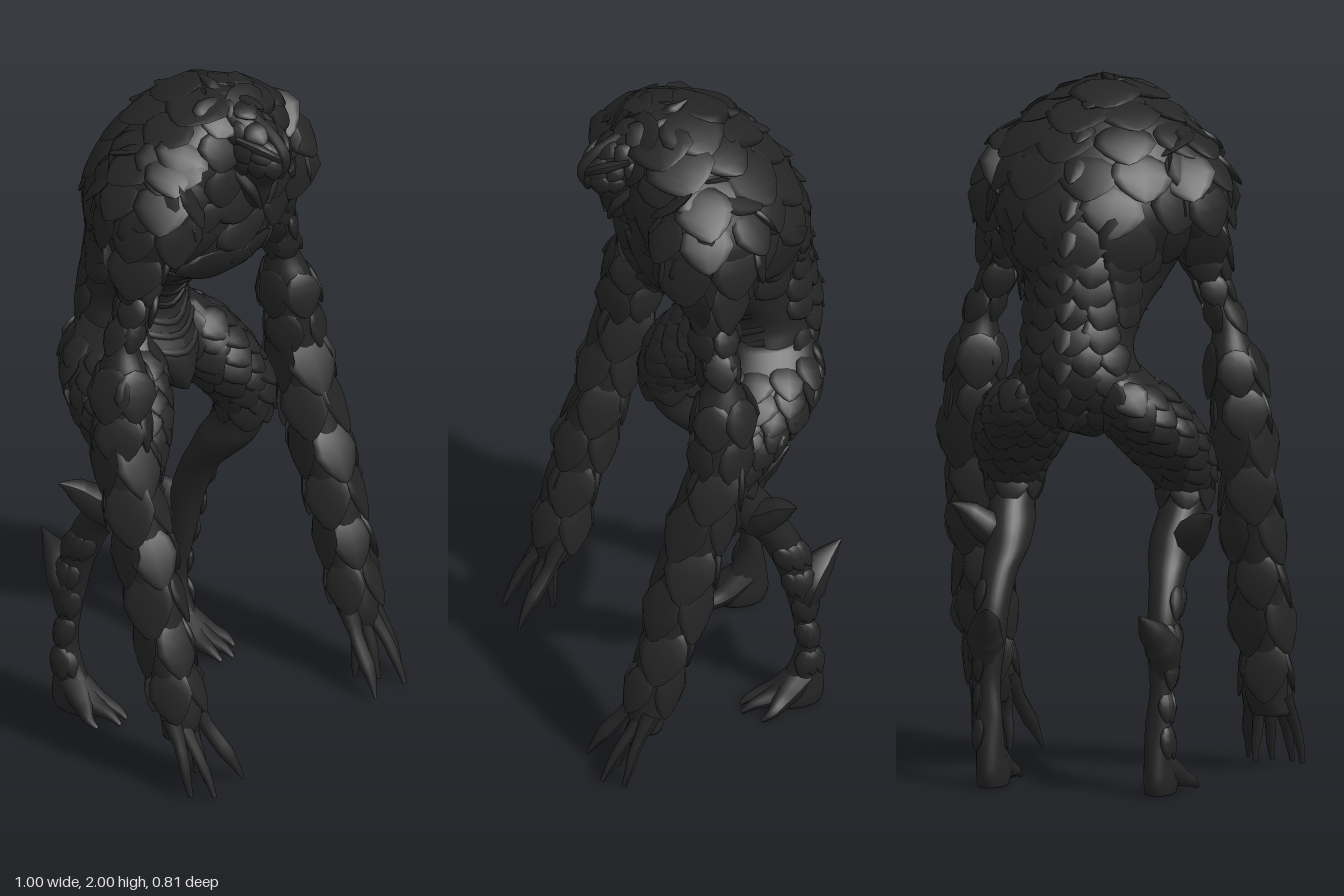
import * as THREE from 'three';
import { mergeGeometries } from 'three/addons/utils/BufferGeometryUtils.js';
import { ParametricGeometry } from 'three/addons/geometries/ParametricGeometry.js';

const hide = new THREE.MeshStandardMaterial({ color: 0x242424 });
hide.name = 'charcoal hide';

let seed = 7;
const rnd = () => (seed = (seed * 16807) % 2147483647) / 2147483647;
const lerp = THREE.MathUtils.lerp;

// Cross-sections, top to bottom: y, x min, x max, z back, z widest, z front
const TORSO = [
  [1.97, .03, 0, .05, .1], [1.94, .1, -.06, .06, .15], [1.88, .2, -.15, .05, .18], [1.8, .28, -.225, .05, .195],
  [1.7, .325, -.285, .06, .19], [1.6, .315, -.32, .05, .185], [1.5, .235, -.335, 0, .18], [1.42, .195, -.345, -.06, .11],
  [1.34, .165, -.355, -.16, -.02], [1.25, .155, -.37, -.22, -.085], [1.17, .18, -.365, -.2, -.07],
  [1.1, .17, -.335, -.2, -.035], [1.03, .09, -.28, -.17, -.02], [.98, .015, -.1, -.07, -.03],
].map(([y, w, b, m, f]) => [y, -w, w, b, m, f]);

const HEAD = [
  [1.965, .04, .02, .12], [1.92, .06, .03, .21], [1.87, .07, .05, .265], [1.82, .07, .08, .3],
  [1.77, .058, .1, .295], [1.72, .045, .1, .262], [1.68, .035, .13, .25], [1.645, .016, .19, .235],
].map(([y, w, b, f]) => [y, -w, w, b, lerp(b, f, .55), f]);

const centred = ([y, x0, x1, b, f]) => [y, x0, x1, b, (b + f) / 2, f];

const ARM = [
  [1.84, .18, .27, -.03, .1], [1.78, .16, .315, -.1, .145], [1.7, .16, .352, -.13, .17], [1.6, .18, .355, -.11, .15],
  [1.5, .228, .352, -.035, .09], [1.4, .272, .36, -.025, .085], [1.3, .315, .4, -.018, .062], [1.21, .307, .438, -.045, .1],
  [1.13, .31, .455, -.045, .11], [1, .325, .463, -.025, .115], [.9, .33, .465, 0, .14], [.8, .33, .468, .025, .17],
  [.7, .33, .468, .055, .2], [.6, .335, .47, .085, .23], [.5, .335, .472, .115, .25], [.4, .34, .472, .15, .27],
  [.3, .34, .465, .175, .3], [.22, .34, .46, .195, .315], [.16, .36, .465, .22, .305],
].map(centred);

const LEG = [
  [1.2, .06, .165, -.32, -.1], [1.12, .05, .245, -.33, -.04], [1.05, .06, .295, -.305, .005], [.98, .09, .325, -.24, .035],
  [.9, .15, .33, -.15, .05], [.84, .18, .32, -.1, .045], [.78, .185, .312, -.13, .03], [.72, .175, .305, -.17, 0],
  [.66, .178, .3, -.2, -.06], [.6, .195, .295, -.235, -.12], [.5, .205, .295, -.275, -.17], [.4, .21, .295, -.285, -.2],
  [.3, .22, .283, -.285, -.222], [.2, .21, .285, -.295, -.238], [.1, .205, .285, -.31, -.2], [.04, .2, .29, -.315, -.15],
  [.005, .205, .285, -.305, -.17],
].map(centred);

const mirrored = (sec, s) => (s > 0 ? sec : sec.map(([y, a, b, ...z]) => [y, -b, -a, ...z]));

// Point on a sectioned body: t runs from top to bottom, angle a from +z towards +x
function pointOn(sec, t, a) {
  const f = THREE.MathUtils.clamp(t, 0, 1) * (sec.length - 1);
  const i = Math.min(Math.floor(f), sec.length - 2);
  const at = (k, c) => sec[THREE.MathUtils.clamp(k, 0, sec.length - 1)][c];
  const [y, x0, x1, b, m, fr] = [0, 1, 2, 3, 4, 5].map((c) => {
    const p = at(i, c), q = at(i + 1, c), u = f - i;
    const d0 = (q - at(i - 1, c)) / 2, d1 = (at(i + 2, c) - p) / 2;
    return p + u * d0 + u * u * (3 * (q - p) - 2 * d0 - d1) + u * u * u * (2 * (p - q) + d0 + d1);
  });
  const c = Math.cos(a);
  return new THREE.Vector3((x0 + x1) / 2 + ((x1 - x0) / 2) * Math.sin(a), y, m + (c > 0 ? fr - m : m - b) * c);
}

function body(sec, sides = 28) {
  const rows = sec.length * 4;
  const g = new ParametricGeometry((u, v, target) => {
    const t = (v * rows - 1) / (rows - 2);
    target.copy(pointOn(sec, t, -u * Math.PI * 2));
    if (t < 0 || t > 1) { // close the ends
      const e = sec[t < 0 ? 0 : sec.length - 1];
      target.set((e[1] + e[2]) / 2, e[0], e[4]);
    }
  }, sides, rows);
  g.computeVertexNormals();
  return g;
}

// One domed scale, rounded at the root and narrowing to a tip along +y
const scaleShape = new THREE.SphereGeometry(1, 8, 6);
{
  const p = scaleShape.attributes.position;
  for (let i = 0; i < p.count; i++) {
    const y = p.getY(i), k = Math.sqrt(1 - Math.max(0, y) * 0.7);
    p.setXYZ(i, p.getX(i) * k, y, p.getZ(i) * k);
  }
  scaleShape.computeVertexNormals();
}

function scaleAt(sec, t, a, w, l, tilt) {
  const e = 0.004, p = pointOn(sec, t, a);
  const down = pointOn(sec, t + e, a).sub(pointOn(sec, t - e, a)).normalize();
  const round = pointOn(sec, t, a + e).sub(pointOn(sec, t, a - e));
  const out = down.clone().cross(round).normalize();
  const tip = down.clone().multiplyScalar(Math.cos(tilt)).addScaledVector(out, Math.sin(tilt)).normalize();
  const side = tip.clone().cross(out).normalize();
  const face = side.clone().cross(tip);
  const m = new THREE.Matrix4().makeBasis(side, tip, face).scale(new THREE.Vector3(w, l, 0.014)).setPosition(p);
  return scaleShape.clone().applyMatrix4(m);
}

// Staggered rows of overlapping scales
function coat(sec, { t0, t1, rows, w, l, a0 = 0, a1 = Math.PI * 2, shrink = 0, tilt = 0.2 }) {
  const list = [];
  for (let r = 0; r < rows; r++) {
    const v = r / Math.max(1, rows - 1), t = lerp(t0, t1, v), k = 1 - shrink * v;
    let arc = 0;
    for (let i = 0; i < 16; i++) {
      arc += pointOn(sec, t, lerp(a0, a1, i / 16)).distanceTo(pointOn(sec, t, lerp(a0, a1, (i + 1) / 16)));
    }
    const n = Math.max(3, Math.round(arc / (w * k * 1.55)));
    for (let i = 0; i < n; i++) {
      const a = lerp(a0, a1, (i + (r % 2 ? 0.25 : 0.75) + (rnd() - 0.5) * 0.2) / n);
      const j = 0.9 + rnd() * 0.25;
      list.push(scaleAt(sec, t, a, w * k * j, l * k * j, tilt + (rnd() - 0.5) * 0.08));
    }
  }
  return mergeGeometries(list);
}

// Tapered tube through points [x, y, z, radius]
function horn(points, s = 1) {
  const curve = new THREE.CatmullRomCurve3(points.map(([x, y, z]) => new THREE.Vector3(x * s, y, z)));
  const seg = 12, sides = 8, g = new THREE.TubeGeometry(curve, seg, 1, sides), p = g.attributes.position;
  const v = new THREE.Vector3();
  for (let i = 0; i < p.count; i++) {
    const u = Math.floor(i / (sides + 1)) / seg, c = curve.getPointAt(u);
    const f = u * (points.length - 1), k = Math.min(Math.floor(f), points.length - 2);
    v.fromBufferAttribute(p, i).sub(c).multiplyScalar(lerp(points[k][3], points[k + 1][3], f - k)).add(c);
    p.setXYZ(i, v.x, v.y, v.z);
  }
  g.computeVertexNormals();
  return g;
}

export function createModel() {
  const model = new THREE.Group();
  model.name = 'scaledCreature';
  const add = (name, geometry) => {
    const mesh = new THREE.Mesh(geometry, hide);
    mesh.name = name;
    model.add(mesh);
  };

  // Torso with back, shoulder and chest scales
  add('torso', body(TORSO, 40));
  add('upperBackScales', coat(TORSO, { t0: .07, t1: .42, rows: 6, w: .095, l: .08, a0: 1.1, a1: 5.18, tilt: .17 }));
  add('lowerBackScales', coat(TORSO, { t0: .47, t1: .88, rows: 8, w: .065, l: .06, a0: 2, a1: 4.28, shrink: .25 }));
  add('collarScales', coat(TORSO, { t0: .1, t1: .28, rows: 3, w: .085, l: .065, a0: -1.2, a1: 1.2 }));
  add('chestPlates', coat(TORSO, { t0: .34, t1: .48, rows: 3, w: .11, l: .055, a0: -1.1, a1: 1.1, tilt: .14 }));
  add('spineScales', mergeGeometries([.1, .18, .26, .33, .4, .48, .56, .64, .71, .78, .85]
    .map((t) => scaleAt(TORSO, t, Math.PI, .035, .068, .42))));
  add('crownSpike', horn([[0, 1.945, .1, .012], [0, 1.968, .05, .02], [0, 1.998, 0, .001]]));
  // Folded skin across the belly
  add('bellyFolds', mergeGeometries([.57, .62, .67, .71, .76, .8, .85].map((t) => horn([-1.2, -.7, 0, .7, 1.2].map((a) => {
    const p = pointOn(TORSO, t - .06 * Math.abs(a), a);
    return [p.x, p.y, p.z - .006, a ? .011 : .013];
  })))));

  // Lowered head with brow, cheeks and a ridge
  add('head', body(HEAD, 24));
  add('headScales', coat(HEAD, { t0: .1, t1: .5, rows: 4, w: .042, l: .04, shrink: .25, tilt: .17 }));
  add('noseRidge', horn([[0, 1.92, .2, .015], [0, 1.87, .28, .017], [0, 1.82, .315, .017], [0, 1.76, .295, .01]]));

  for (const s of [1, -1]) {
    const side = s > 0 ? 'left' : 'right';
    const arm = mirrored(ARM, s), leg = mirrored(LEG, s);
    add(side + 'Brow', horn([[.01, 1.82, .305, .012], [.04, 1.845, .28, .016], [.078, 1.88, .2, .008]], s));
    add(side + 'Jaw', horn([[.06, 1.78, .17, .018], [.045, 1.71, .235, .016], [.015, 1.65, .24, .006]], s));

    add(side + 'Arm', body(arm));
    add(side + 'ShoulderScales', coat(arm, { t0: .03, t1: .21, rows: 4, w: .08, l: .08, tilt: .32 }));
    add(side + 'UpperArmScales', coat(arm, { t0: .24, t1: .32, rows: 3, w: .045, l: .055, tilt: .12 }));
    add(side + 'ElbowScales', coat(arm, { t0: .42, t1: .48, rows: 2, w: .065, l: .075, tilt: .14 }));
    add(side + 'ForearmScales', coat(arm, { t0: .52, t1: .89, rows: 6, w: .072, l: .1, shrink: .15, tilt: .2 }));
    // Fingers as x at knuckle, x at tip, z at tip, y at tip
    [[.445, .474, .35, .012], [.42, .43, .4, .008], [.39, .39, .34, .02], [.365, .36, .28, .02]].forEach(([x, tx, z, y], i) =>
      add(side + 'Finger' + (i + 1), horn([[x, .22, .26, .03], [(x + tx) / 2 + .005, .13, lerp(.28, z, .45), .018],
        [tx, .06, lerp(.28, z, .8), .015], [tx, y, z, .007]], s)));
    add(side + 'Thumb', horn([[.36, .25, .25, .035], [.335, .15, .31, .02], [.315, .07, .37, .022], [.3, .012, .4, .004]], s));

    add(side + 'Leg', body(leg));
    add(side + 'ThighScales', coat(leg, { t0: .06, t1: .32, rows: 8, w: .05, l: .052, tilt: .25 }));
    add(side + 'ShinScales', coat(leg, { t0: .6, t1: .84, rows: 5, w: .028, l: .045, a0: s * Math.PI / 2 - .9, a1: s * Math.PI / 2 + .9, tilt: .1 }));
    add(side + 'KneeSpike', horn([[.26, .68, -.1, .05], [.31, .73, -.14, .05], [.345, .765, -.165, .035], [.385, .79, -.19, .001]], s));
    add(side + 'CalfSpike', horn([[.26, .34, -.25, .035], [.26, .42, -.265, .055], [.24, .475, -.315, .038], [.225, .525, -.375, .001]], s));
    // Toes
    [[.215, -.08], [.255, -.07], [.31, -.11]].forEach(([x, z], i) =>
      add(side + 'Toe' + (i + 1), horn([[.245, .09, -.25, .045], [lerp(.245, x, .6), .045, -.18, .035],
        [x, .025, z - .03, .021], [x, .008, z, .006]], s)));
  }
  return model;
}
